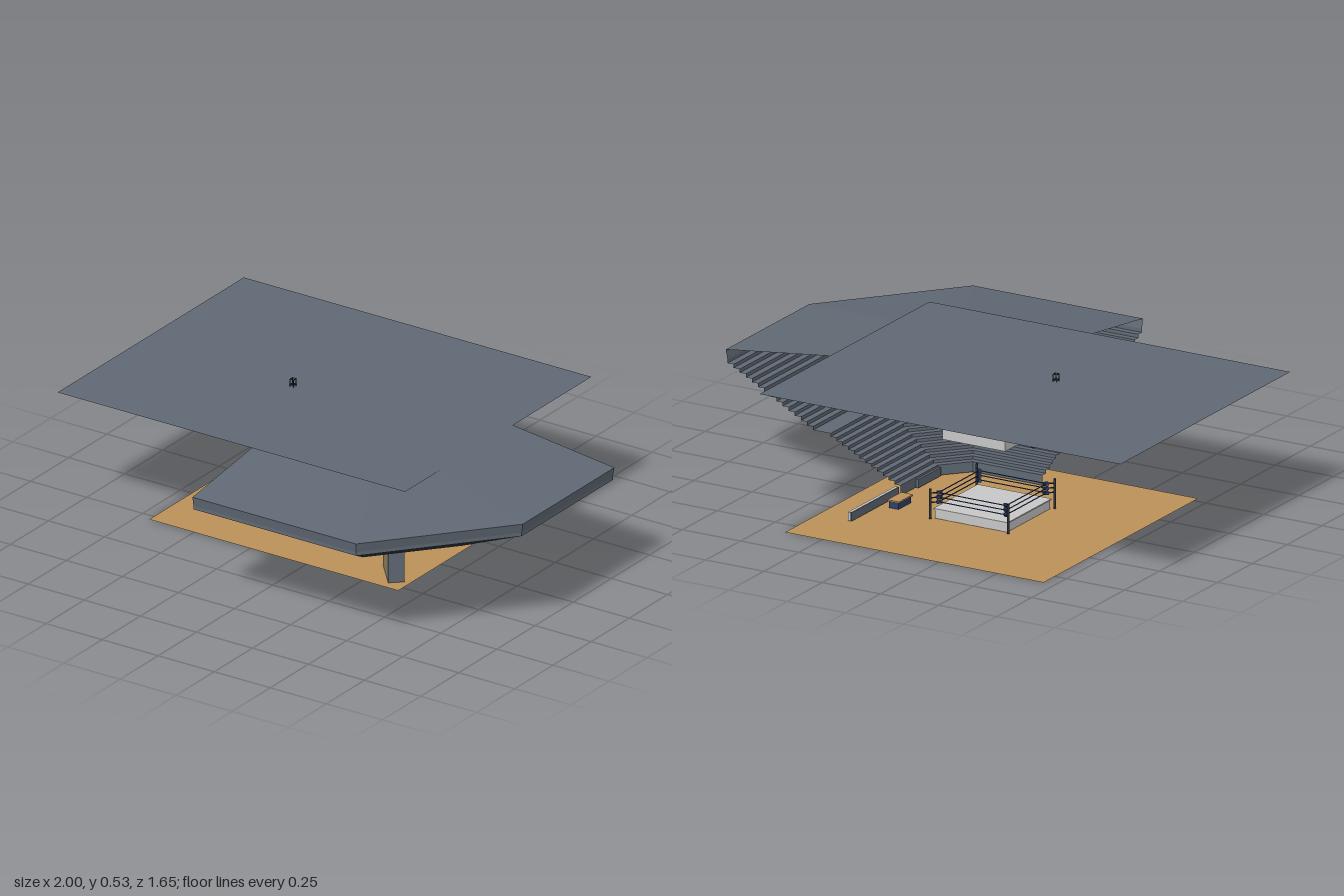
import * as THREE from 'three';

const mat = (name, color, side = THREE.DoubleSide) => {
  const m = new THREE.MeshStandardMaterial({ color, side });
  m.name = name;
  return m;
};

export function createModel() {
  const model = new THREE.Group();
  model.name = 'arenaCorner';
  const slate = mat('slate', 0x5f6873);
  const wood = mat('floorBrown', 0xbb9058);
  const tan = mat('tan', 0x8c7f62);
  const grey = mat('lightGrey', 0xc6c6c6);
  const dark = mat('charcoal', 0x2b2f35);
  const navy = mat('navy', 0x2c3f6b);

  const add = (name, geo, material, parent = model) => {
    const mesh = new THREE.Mesh(geo, material);
    mesh.name = name;
    parent.add(mesh);
    return mesh;
  };
  // Box given by its minimum and maximum corners
  const box = (name, a, b, material, parent) => {
    const g = new THREE.BoxGeometry(b[0] - a[0], b[1] - a[1], b[2] - a[2]);
    g.translate((a[0] + b[0]) / 2, (a[1] + b[1]) / 2, (a[2] + b[2]) / 2);
    return add(name, g, material, parent);
  };
  // Flat-shaded surface through successive rows of points
  const loft = (rows) => {
    const pos = [];
    for (let r = 0; r < rows.length - 1; r++) {
      for (let i = 0; i < rows[r].length - 1; i++) {
        const a = rows[r][i], b = rows[r][i + 1], c = rows[r + 1][i + 1], d = rows[r + 1][i];
        pos.push(...a, ...b, ...c, ...a, ...c, ...d);
      }
    }
    const g = new THREE.BufferGeometry();
    g.setAttribute('position', new THREE.Float32BufferAttribute(pos, 3));
    g.computeVertexNormals();
    return g;
  };
  const plane = (name, x0, x1, z0, z1, y, material) => {
    const g = new THREE.PlaneGeometry(x1 - x0, z1 - z0).rotateX(-Math.PI / 2);
    g.translate((x0 + x1) / 2, y, (z0 + z1) / 2);
    add(name, g, material);
  };

  // Floor and ceiling sheets
  plane('floor', -0.7, 0.41, -0.83, 0.28, 0, wood);
  plane('ceiling', -1, 0.55, -0.78, 0.44, 0.499, slate);

  // Seating: a stepped bowl that wraps one chamfered corner
  const X0 = -0.14, Z0 = -0.27;
  const inner = [[X0, 0.1], [0.16, 0.1], [0.25, 0.0], [0.25, Z0]];
  const outer = [[X0, 0.82], [0.59, 0.82], [1, 0.33], [1, Z0]];
  const ring = (t, y) => inner.map((p, i) => [
    p[0] + (outer[i][0] - p[0]) * t, y, p[1] + (outer[i][1] - p[1]) * t]);
  const rows = [ring(0, 0.005), ring(0, 0.045)];
  const flight = (t0, t1, y0, y1, n) => {
    for (let i = 1; i <= n; i++) {
      const t = t0 + (t1 - t0) * i / n;
      rows.push(ring(t, y0 + (y1 - y0) * (i - 1) / n));
      rows.push(ring(t, y0 + (y1 - y0) * i / n));
    }
  };
  flight(0, 0.4, 0.045, 0.195, 12);
  rows.push(ring(0.465, 0.195));
  flight(0.465, 0.99, 0.195, 0.405, 15);
  add('seatingTiers', loft(rows), slate);

  // Roof: fascia, slope and flat top
  const at = (pts, y) => pts.map(([x, z]) => [x, y, z]);
  const crown = [[X0, 0.41], [0.385, 0.41], [0.55, 0.2], [0.55, Z0]];
  const back = crown.map(() => [X0, Z0]);
  add('roof', loft([ring(0.99, 0.405), at(outer, 0.443), at(crown, 0.497), at(back, 0.497)]), slate);

  // Diagonal corner passage below the seats
  const pA = [0.24, 0.13], pB = [0.345, 0.25], pC = [0.39, 0.21], pD = [0.28, 0.1];
  const wall = (p, q, h0, h1) => loft([
    [[p[0], 0.003, p[1]], [q[0], 0.003, q[1]]],
    [[p[0], h0, p[1]], [q[0], h1, q[1]]]]);
  add('passageLeftWall', wall(pA, pB, 0.05, 0.13), tan);
  add('passageRightWall', wall(pC, pD, 0.13, 0.05), tan);
  add('passageEnd', wall(pB, pC, 0.13, 0.13), slate);
  add('passageTop', loft([
    [[pA[0], 0.05, pA[1]], [pB[0], 0.13, pB[1]]],
    [[pD[0], 0.05, pD[1]], [pC[0], 0.13, pC[1]]]]), tan);

  // Barrier beside the floor
  box('barrier', [0.262, 0.005, -0.61], [0.272, 0.038, -0.27], grey);
  box('barrierPanel', [0.256, 0.005, -0.61], [0.262, 0.038, -0.27], slate);
  box('innerBarrier', [0.238, 0.005, -0.16], [0.248, 0.038, 0.0], slate);

  // Ringside table
  const table = new THREE.Group();
  table.name = 'ringsideTable';
  model.add(table);
  box('tableBody', [0.18, 0.002, -0.4], [0.22, 0.028, -0.31], navy, table);
  box('tableTop', [0.175, 0.028, -0.405], [0.225, 0.034, -0.305], wood, table);

  // Fighting ring
  const fight = new THREE.Group();
  fight.name = 'fightingRing';
  fight.position.set(-0.14, 0, -0.26);
  model.add(fight);
  const H = 0.155, P = 0.167, R = 0.145;
  box('apron', [-H, 0.002, -H], [H, 0.036, H], grey, fight);
  box('canvas', [-H - 0.004, 0.036, -H - 0.004], [H + 0.004, 0.041, H + 0.004], grey, fight);
  for (const sx of [-1, 1]) for (const sz of [-1, 1]) {
    const post = new THREE.CylinderGeometry(0.005, 0.005, 0.116, 10);
    post.translate(sx * P, 0.06, sz * P);
    add('cornerPost', post, dark, fight);
    for (const y of [0.065, 0.083, 0.101]) {
      const pad = new THREE.BoxGeometry(0.012, 0.012, 0.02);
      pad.rotateY(sx * sz * Math.PI / 4);
      pad.translate(sx * (R - 0.002), y, sz * (R - 0.002));
      add('cornerPad', pad, navy, fight);
      const link = new THREE.BoxGeometry(0.004, 0.004, 0.034);
      link.rotateY(sx * sz * Math.PI / 4);
      link.translate(sx * 0.156, y, sz * 0.156);
      add('turnbuckle', link, dark, fight);
    }
  }
  for (const y of [0.065, 0.083, 0.101]) for (const s of [-1, 1]) {
    box('rope', [-R, y - 0.0015, s * R - 0.0015], [R, y + 0.0015, s * R + 0.0015], navy, fight);
    box('rope', [s * R - 0.0015, y - 0.0015, -R], [s * R + 0.0015, y + 0.0015, R], navy, fight);
  }

  // Hanging screen block
  box('hangingScreen', [-0.275, 0.307, -0.395], [-0.005, 0.39, -0.125], grey);

  // Lighting truss: an open square lattice of the given length along y
  const truss = (name, length) => {
    const g = new THREE.Group();
    g.name = name;
    const w = 0.008, b = 0.0012;
    for (const sx of [-w, w]) for (const sz of [-w, w])
      box('chord', [sx - b, 0, sz - b], [sx + b, length, sz + b], dark, g);
    const n = Math.round(length / 0.022);
    for (let i = 0; i <= n; i++) {
      const y = length * i / n;
      for (const s of [-w, w]) {
        box('rung', [-w, y - b, s - b], [w, y + b, s + b], dark, g);
        box('rung', [s - b, y - b, -w], [s + b, y + b, w], dark, g);
      }
    }
    model.add(g);
    return g;
  };
  truss('trussHanger', 0.236).position.set(-0.314, 0.292, -0.095);
  const across = truss('trussAcross', 0.174);
  across.position.set(-0.314, 0.296, -0.095);
  across.rotation.z = -Math.PI / 2;
  const along = truss('trussAlong', 0.165);
  along.position.set(-0.314, 0.296, -0.095);
  along.rotation.x = -Math.PI / 2;

  return model;
}
